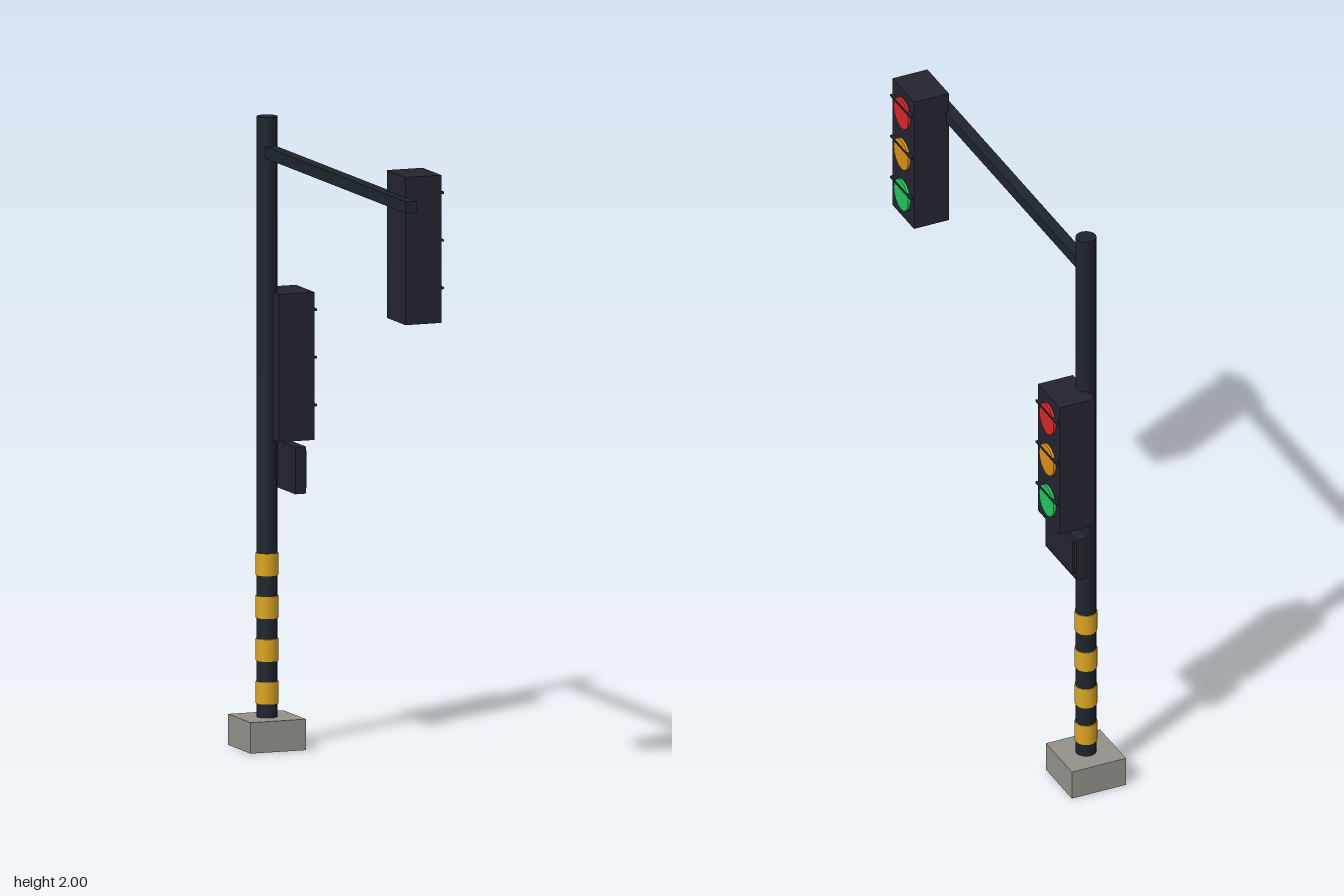
import * as THREE from 'three';

const material = (name, color) => {
  const m = new THREE.MeshStandardMaterial({ color });
  m.name = name;
  return m;
};

export function createModel() {
  const poleDark = material('pole dark', 0x1f242d);
  const housingDark = material('housing dark', 0x24242f);
  const concrete = material('concrete', 0x94918a);
  const yellow = material('stripe yellow', 0xdba520);
  const lampColors = [
    ['red', material('lamp red', 0xdc2626)],
    ['amber', material('lamp amber', 0xda9114)],
    ['green', material('lamp green', 0x22c55e)],
  ];

  const model = new THREE.Group();
  model.name = 'trafficLight';

  const add = (parent, name, geometry, mat, x, y, z) => {
    const mesh = new THREE.Mesh(geometry, mat);
    mesh.name = name;
    mesh.position.set(x, y, z);
    parent.add(mesh);
    return mesh;
  };
  const box = (w, h, d) => new THREE.BoxGeometry(w, h, d);

  const px = -0.025, pz = -0.546; // pole axis

  // Footing and pole
  add(model, 'footing', box(0.187, 0.098, 0.187), concrete, px, 0.049, pz);
  add(model, 'pole', new THREE.CylinderGeometry(0.033, 0.033, 1.91, 16), poleDark, px, 1.045, pz);

  // Warning bands
  for (let i = 0; i < 4; i++) {
    add(model, 'warningBand', new THREE.CylinderGeometry(0.0355, 0.0355, 0.07, 16), yellow,
      px, 0.176 + i * 0.1355, pz);
  }

  // Overhead arm
  add(model, 'arm', box(0.037, 0.037, 1.2), poleDark, px, 1.89, 0.055);

  // Signal head: housing with three lamps facing +x, each under a thin visor
  const signalHead = (name, y, z) => {
    const head = new THREE.Group();
    head.name = name;
    head.position.set(0, y, z);
    add(head, 'housing', box(0.121, 0.468, 0.156), housingDark, 0.0435, 0, 0);
    lampColors.forEach(([color, mat], i) => {
      const ly = (1 - i) * 0.151;
      const lamp = add(head, color + 'Lamp', new THREE.CylinderGeometry(0.053, 0.053, 0.014, 16), mat, 0.105, ly, 0);
      lamp.rotation.z = -Math.PI / 2;
      add(head, 'visor', box(0.018, 0.007, 0.148), housingDark, 0.105, ly + 0.026, 0);
    });
    model.add(head);
  };
  signalHead('upperSignal', 1.74, 0.51);
  signalHead('lowerSignal', 1.212, pz);

  // Small sign box with a raised face panel
  add(model, 'signBox', box(0.036, 0.149, 0.224), housingDark, 0.043, 0.89, pz);
  add(model, 'signPanel', box(0.008, 0.118, 0.196), housingDark, 0.065, 0.89, pz);

  return model;
}
